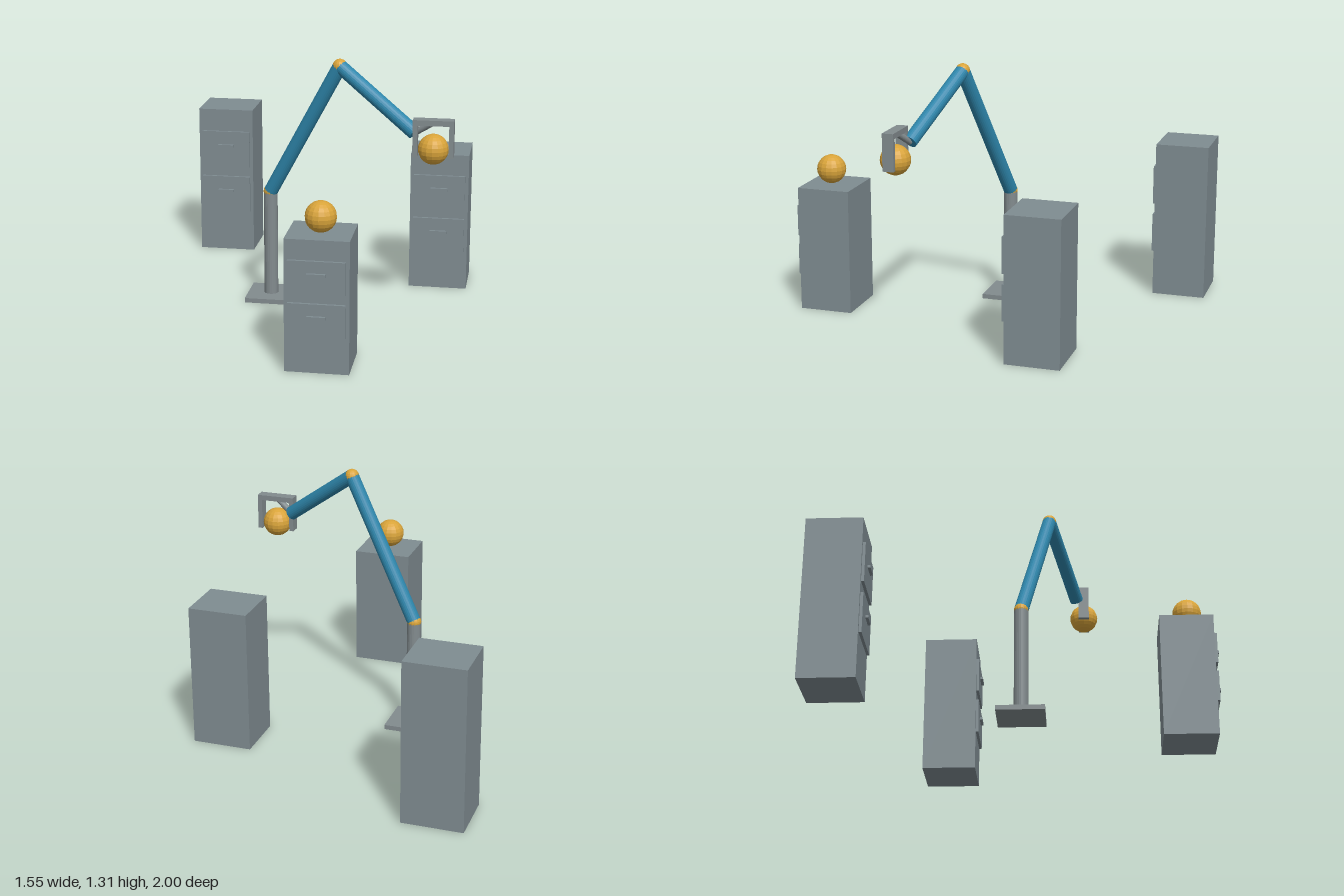
import * as THREE from 'three';

const paint = (name, color) => {
  const m = new THREE.MeshStandardMaterial({ color, flatShading: true });
  m.name = name;
  return m;
};

export function createModel() {
  const cabinetGrey = paint('cabinet grey', 0x7f8c91);
  const steel = paint('steel grey', 0x828b8e);
  const blue = paint('arm blue', 0x2e86ab);
  const gold = paint('gold', 0xd9a43a);

  const model = new THREE.Group();
  model.name = 'robotArmAndCabinets';

  const add = (parent, name, geometry, material, x, y, z) => {
    const mesh = new THREE.Mesh(geometry, material);
    mesh.name = name;
    mesh.position.set(x, y, z);
    parent.add(mesh);
    return mesh;
  };
  const box = (parent, name, mat, w, h, d, x, y, z) =>
    add(parent, name, new THREE.BoxGeometry(w, h, d), mat, x, y, z);
  const ball = (parent, name, r, p) =>
    add(parent, name, new THREE.SphereGeometry(r, 16, 12), gold, p.x, p.y, p.z);

  // Round rod running from point a to point b
  const rod = (parent, name, mat, r, a, b) => {
    const dir = b.clone().sub(a);
    const mid = a.clone().add(b).multiplyScalar(0.5);
    const mesh = add(parent, name, new THREE.CylinderGeometry(r, r, dir.length(), 24), mat, mid.x, mid.y, mid.z);
    mesh.quaternion.setFromUnitVectors(new THREE.Vector3(0, 1, 0), dir.normalize());
    return mesh;
  };

  // Cabinets with two drawers each; drawer sizes scale with the height
  const depth = 0.276;
  const cabinets = [
    ['leftCabinet', 0.62, 0.734, -0.272],
    ['rightCabinet', -0.622, 0.82, -0.724],
    ['frontCabinet', 0.168, 0.648, 0.972],
  ];
  for (const [name, x, height, front] of cabinets) {
    const cabinet = new THREE.Group();
    cabinet.name = name;
    cabinet.position.set(x, 0, front);
    model.add(cabinet);
    box(cabinet, 'cabinetBody', cabinetGrey, 0.305, height, depth, 0, height / 2, -depth / 2);
    for (const level of [0.406, 0.725]) {
      const y = level * height;
      box(cabinet, 'drawerFront', cabinetGrey, 0.27, 0.248 * height, 0.014, 0, y, 0.007);
      box(cabinet, 'drawerHandle', cabinetGrey, 0.088, 0.014, 0.014, 0, y + 0.025 * height, 0.021);
    }
  }

  // Robot: base plate, post, two arm segments with ball joints
  const robot = new THREE.Group();
  robot.name = 'robotArm';
  model.add(robot);
  const foot = new THREE.Vector3(-0.229, 0.02, 0);
  const shoulder = new THREE.Vector3(-0.229, 0.575, 0);
  const elbow = new THREE.Vector3(0.149, 1.274, 0.135);
  const wrist = new THREE.Vector3(0.536, 0.988, 0.273);
  const grip = new THREE.Vector3(0.632, 1.053, 0.311);

  box(robot, 'basePlate', steel, 0.238, 0.024, 0.238, -0.229, 0.012, 0);
  rod(robot, 'post', steel, 0.036, foot, shoulder);
  ball(robot, 'shoulderJoint', 0.037, shoulder);
  rod(robot, 'upperArm', blue, 0.036, shoulder, elbow);
  ball(robot, 'elbowJoint', 0.037, elbow);
  rod(robot, 'forearm', blue, 0.036, elbow, wrist);
  rod(robot, 'wristRod', steel, 0.016, wrist, grip);

  // Gripper: palm bar with two fingers around the held ball
  const gripper = new THREE.Group();
  gripper.name = 'gripper';
  gripper.position.copy(grip);
  robot.add(gripper);
  box(gripper, 'palm', steel, 0.199, 0.027, 0.056, 0, 0, 0);
  for (const side of [-1, 1]) {
    box(gripper, 'finger', steel, 0.023, 0.158, 0.056, side * 0.088, -0.092, 0);
  }

  ball(model, 'heldBall', 0.075, new THREE.Vector3(0.632, 0.919, 0.311));
  ball(model, 'restingBall', 0.075, new THREE.Vector3(0.168, 0.723, 0.848));

  return model;
}
